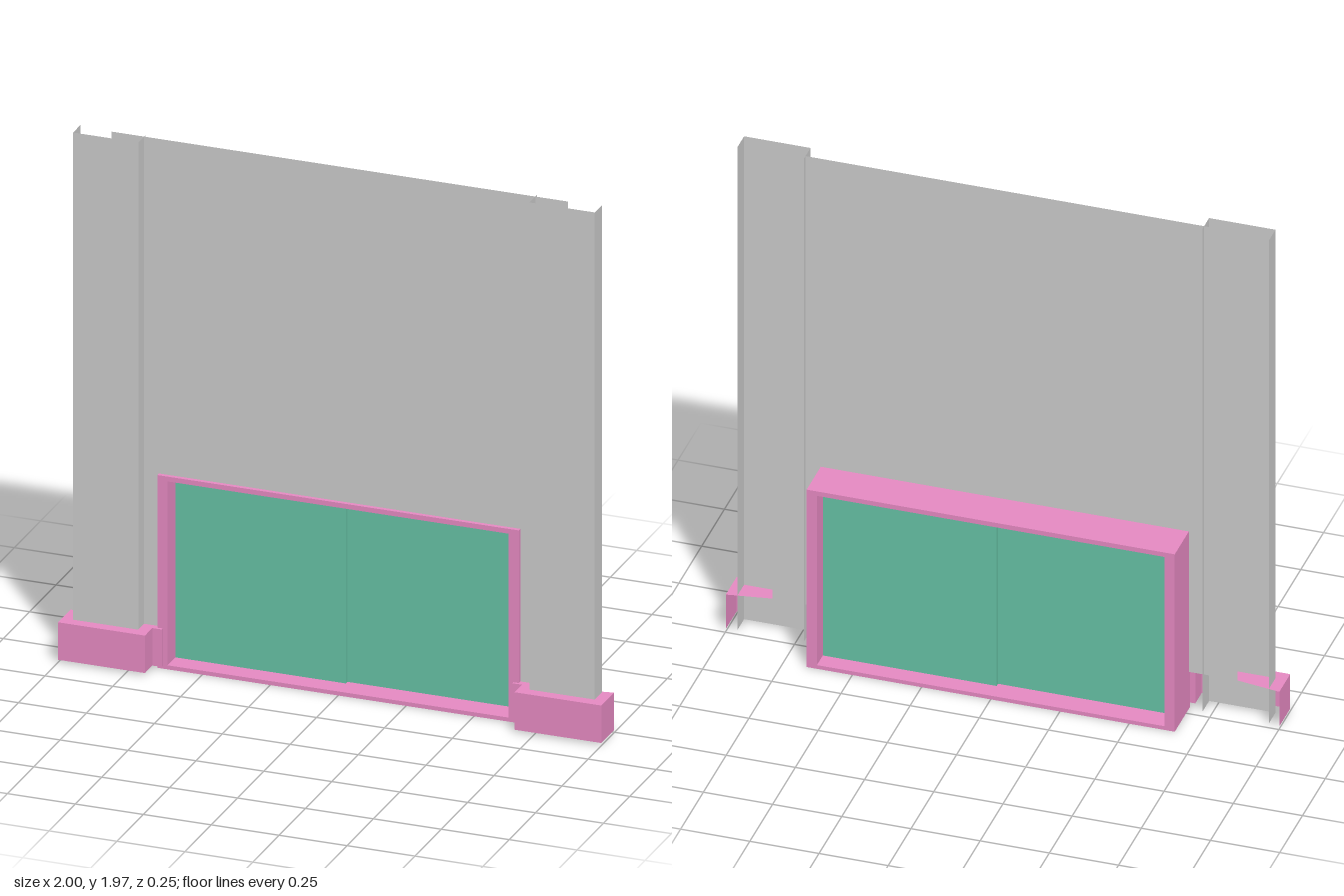
import * as THREE from 'three';

const mat = (color) => new THREE.MeshStandardMaterial({ color, side: THREE.DoubleSide, flatShading: true });
const grey = mat(0xcccccc);
const pink = mat(0xe78ac3);
const green = mat(0x66c2a5);

const HEIGHT = 1.97;
const BASE_TOP = 0.15;
const BASE_BOTTOM = 0.01;

// Thin upright sheet following a plan path of [x, z] points
function sheet(path, y0, y1) {
  const pos = [];
  for (let i = 0; i < path.length - 1; i++) {
    const [ax, az] = path[i];
    const [bx, bz] = path[i + 1];
    pos.push(ax, y0, az, bx, y0, bz, bx, y1, bz, ax, y0, az, bx, y1, bz, ax, y1, az);
  }
  const g = new THREE.BufferGeometry();
  g.setAttribute('position', new THREE.Float32BufferAttribute(pos, 3));
  g.computeVertexNormals();
  return g;
}

function outline(points) {
  return new THREE.Shape(points.map(([x, y]) => new THREE.Vector2(x, y)));
}

function add(parent, name, geometry, material) {
  const mesh = new THREE.Mesh(geometry, material);
  mesh.name = name;
  parent.add(mesh);
  return mesh;
}

export function createModel() {
  const model = new THREE.Group();
  model.name = 'wallWithWindow';

  // Thin wall, cut out around the window and above the plinths
  const wall = outline([
    [-0.84, BASE_TOP], [-0.665, BASE_TOP], [-0.665, 0.72], [0.665, 0.72],
    [0.665, BASE_TOP], [0.84, BASE_TOP], [0.84, HEIGHT], [-0.84, HEIGHT],
  ]);
  add(model, 'wall', new THREE.ShapeGeometry(wall).translate(0, 0, 0.03), grey);

  // Pilasters and their plinths, mirrored left and right
  for (const [side, s] of [['left', 1], ['right', -1]]) {
    const flip = (points) => points.map(([x, z]) => [s * x, z]);

    const pilaster = flip([[0.72, 0.015], [0.72, 0.085], [0.96, 0.085], [0.96, 0.015]]);
    add(model, side + 'Pilaster', sheet(pilaster, BASE_BOTTOM, HEIGHT), grey);

    // Open-backed plinth with a short skirting beside the window
    const plinth = flip([
      [0.645, 0.03], [0.645, 0.055], [0.68, 0.055], [0.68, 0.125], [1, 0.125], [1, 0.005],
    ]);
    add(model, side + 'Plinth', sheet(plinth, BASE_BOTTOM, BASE_TOP), pink);

    const cap = new THREE.ShapeGeometry(outline([...plinth, [s * 0.84, 0.03]].map(([x, z]) => [x, -z])));
    cap.rotateX(-Math.PI / 2).translate(0, BASE_TOP, 0);
    add(model, side + 'PlinthCap', cap, pink);
  }

  // Deep window frame
  const frame = outline([[-0.665, 0], [0.665, 0], [0.665, 0.72], [-0.665, 0.72]]);
  frame.holes.push(outline([[-0.628, 0.015], [-0.628, 0.702], [0.628, 0.702], [0.628, 0.015]]));
  const frameGeo = new THREE.ExtrudeGeometry(frame, { depth: 0.17, bevelEnabled: false });
  add(model, 'windowFrame', frameGeo.translate(0, 0, -0.125), pink);

  // Two sliding panes, one behind the other
  for (const [side, s, z] of [['left', 1, -0.052], ['right', -1, -0.037]]) {
    const pane = add(model, side + 'Pane', new THREE.BoxGeometry(0.628, 0.687, 0.015), green);
    pane.position.set(s * 0.314, 0.3585, z);
  }

  return model;
}
